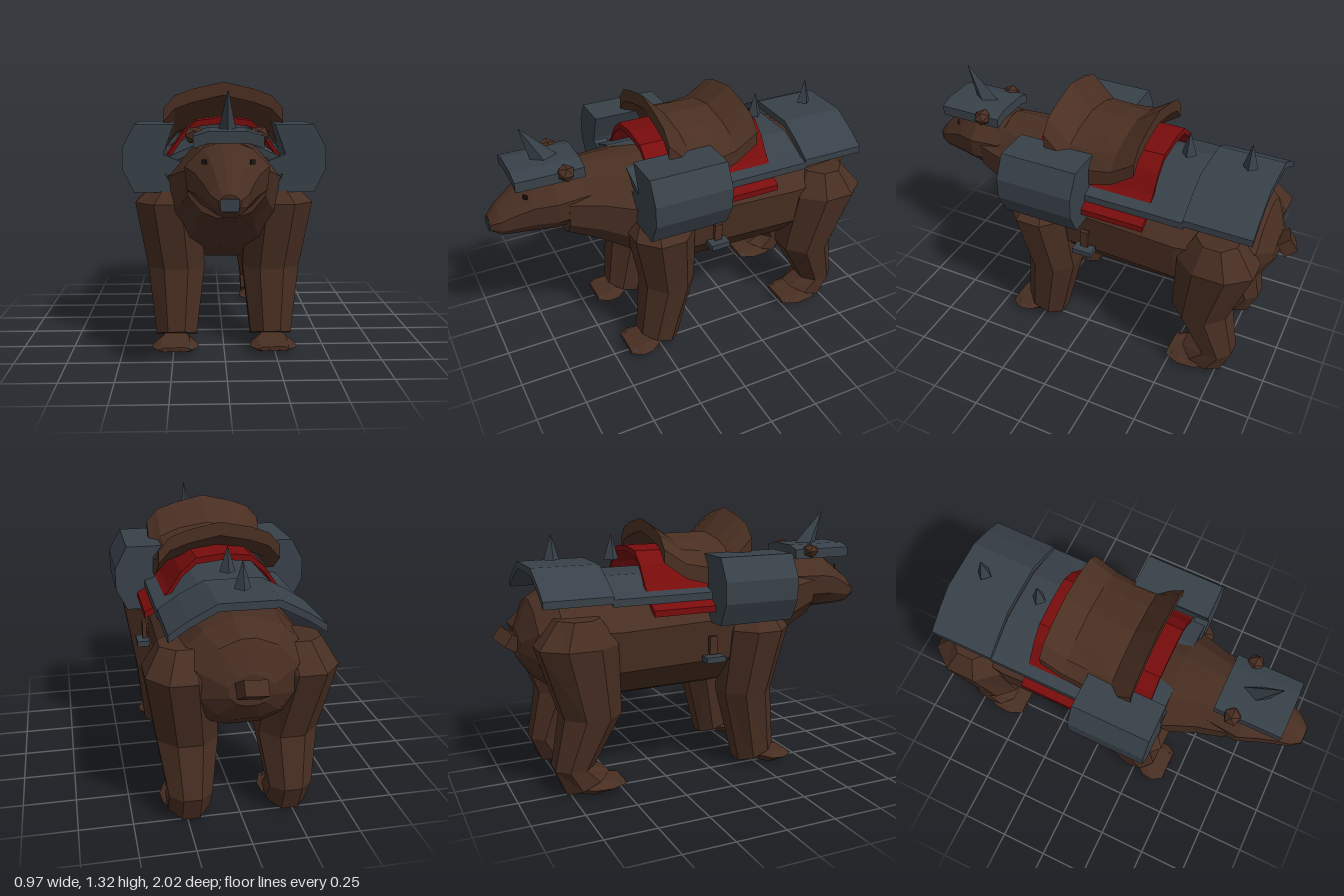
import * as THREE from 'three';

const mat = (name, color, extra = {}) => {
  const m = new THREE.MeshStandardMaterial({ color, flatShading: true, ...extra });
  m.name = name;
  return m;
};

// Skin a list of equal, even-sized rings of [x, y, z] points and cap both ends
function loft(rings) {
  const n = rings[0].length, tris = [];
  const quad = (a, b, c, d) => tris.push([a, b, c], [a, c, d]);
  for (let r = 0; r < rings.length - 1; r++)
    for (let i = 0; i < n; i++) {
      const j = (i + 1) % n;
      quad(rings[r][i], rings[r][j], rings[r + 1][j], rings[r + 1][i]);
    }
  const first = rings[0], last = rings[rings.length - 1];
  for (let i = 0; i < n / 2 - 1; i++) {
    quad(first[i], first[n - 1 - i], first[n - 2 - i], first[i + 1]);
    quad(last[i], last[i + 1], last[n - 2 - i], last[n - 1 - i]);
  }
  // Turn all faces outward
  const v = (p) => new THREE.Vector3(...p);
  const volume = tris.reduce((s, [a, b, c]) => s + v(a).dot(v(b).cross(v(c))), 0);
  if (volume < 0) tris.forEach((t) => t.reverse());
  const g = new THREE.BufferGeometry();
  g.setAttribute('position', new THREE.Float32BufferAttribute(tris.flat(2), 3));
  g.computeVertexNormals();
  return g;
}

// Ring across z: half outline from top to bottom, mirrored
const mirrorRing = (half, z) => [
  ...half.map(([x, y]) => [x, y, z]),
  ...half.slice().reverse().map(([x, y]) => [-x, y, z]),
];
const bodyRing = ([z, top, bottom, w]) => {
  const h = top - bottom;
  return mirrorRing([[w * 0.15, top], [w * 0.58, top - 0.1 * h], [w, top - 0.36 * h],
    [w * 0.95, bottom + 0.3 * h], [w * 0.62, bottom + 0.08 * h], [w * 0.25, bottom]], z);
};

// Octagonal limb ring: height, centre x and z, half sizes, tilt towards the front
const limbRing = (s) => ([y, cx, cz, rx, rz, tilt = 0]) => Array.from({ length: 8 }, (_, i) => {
  const a = (i + 0.5) * Math.PI / 4, k = 1 / Math.cos(Math.PI / 8);
  const dz = Math.sin(a) * k * rz;
  return [s * (cx + Math.cos(a) * k * rx), y + dz * tilt, cz + dz];
});

// Arched cross-section of given vertical thickness
function archRing(half, thick, z) {
  const top = [...half.slice().reverse().map(([x, y]) => [-x, y]), ...half.filter(([x]) => x > 0)];
  return [...top.map(([x, y]) => [x, y, z]), ...top.slice().reverse().map(([x, y]) => [x, y - thick, z])];
}
const arch = (half, thick, z0, z1) => loft([archRing(half, thick, z0), archRing(half, thick, z1)]);

function extrude(points, z0, z1) {
  const shape = new THREE.Shape(points.map(([x, y]) => new THREE.Vector2(x, y)));
  return new THREE.ExtrudeGeometry(shape, { depth: z1 - z0, bevelEnabled: false }).translate(0, 0, z0);
}

export function createModel() {
  const model = new THREE.Group();
  const fur = mat('brown fur', 0x482e22);
  const leather = mat('saddle leather', 0x4a2f22);
  const steel = mat('dark steel', 0x384149);
  const red = mat('red cloth', 0x780c0c);
  const dark = mat('eye black', 0x1c1410);
  const add = (name, geometry, material, x = 0, y = 0, z = 0) => {
    const m = new THREE.Mesh(geometry, material);
    m.name = name;
    m.position.set(x, y, z);
    model.add(m);
    return m;
  };

  // Torso, neck and head
  add('torso', loft([
    [0.65, 1.05, 0.72, 0.18], [0.5, 1.06, 0.64, 0.21], [0.33, 1.06, 0.53, 0.27],
    [0.07, 1.02, 0.425, 0.33], [-0.5, 0.995, 0.42, 0.34], [-0.76, 0.98, 0.48, 0.31],
    [-0.86, 0.92, 0.55, 0.22], [-0.92, 0.78, 0.64, 0.1],
  ].map(bodyRing)), fur);
  add('head', loft([
    [0.54, 1.06, 0.77, 0.17], [0.7, 1.06, 0.765, 0.185], [0.8, 1.03, 0.765, 0.14],
    [0.88, 0.975, 0.765, 0.105], [0.95, 0.92, 0.77, 0.08], [0.995, 0.87, 0.8, 0.045],
  ].map(bodyRing)), fur);
  add('nose', new THREE.BoxGeometry(0.075, 0.05, 0.03), steel, 0, 0.828, 0.985);
  const tail = add('tail', new THREE.BoxGeometry(0.12, 0.07, 0.07), fur, 0.005, 0.73, -0.955);
  tail.rotation.set(0.6, 0.35, 0);

  for (const s of [1, -1]) {
    const side = s > 0 ? 'left' : 'right';
    const limb = limbRing(s);

    // Ears and eyes
    add(side + 'Ear', new THREE.IcosahedronGeometry(0.05, 0).scale(1, 0.8, 0.9), fur, s * 0.14, 1.085, 0.64);
    const eye = add(side + 'Eye', new THREE.BoxGeometry(0.022, 0.02, 0.009), dark, s * 0.1, 0.985, 0.83);
    eye.rotation.y = s * 0.6;

    // Legs
    add(side + 'FrontLeg', loft([
      [0.8, 0.25, 0.235, 0.12, 0.12], [0.74, 0.27, 0.235, 0.16, 0.155],
      [0.41, 0.235, 0.19, 0.14, 0.13], [0.065, 0.235, 0.25, 0.1, 0.1, 0.37],
    ].map(limb)), fur);
    add(side + 'HindLeg', loft([
      [0.86, 0.25, -0.69, 0.11, 0.1], [0.74, 0.28, -0.705, 0.15, 0.185],
      [0.39, 0.235, -0.635, 0.14, 0.14], [0.14, 0.235, -0.728, 0.1, 0.095],
      [0.055, 0.235, -0.665, 0.1, 0.105, 0.42],
    ].map(limb)), fur);

    // Paws with claws
    for (const [name, z, len] of [['Front', 0.43, 0.17], ['Hind', -0.49, 0.25]]) {
      const pawRing = ([t, y0, y1, w]) => mirrorRing(
        [[w * 0.6, y1], [w, (y0 + y1) / 2], [w * 0.6, y0]], z - len * t)
        .map(([x, y, pz]) => [x + s * 0.24, y, pz]);
      add(side + name + 'Paw', loft([
        [0, 0.028, 0.05, 0.085], [0.3, 0.012, 0.06, 0.115], [0.65, 0.003, 0.072, 0.11], [1, 0.02, 0.08, 0.07],
      ].map(pawRing)), fur);
      for (let i = 0; i < 4; i++)
        add(side + name + 'Claw', new THREE.ConeGeometry(0.012, 0.045, 4).rotateX(Math.PI / 2 + 0.2),
          steel, s * 0.24 + (i - 1.5) * 0.048, 0.037, z - 0.008);
    }

    // Shoulder guard with its inner wedge
    add(side + 'ShoulderGuard', extrude([
      [0.24, 1.12], [0.425, 1.12], [0.485, 1.01], [0.485, 0.905], [0.43, 0.795], [0.235, 0.795],
      [0.285, 0.89], [0.29, 0.985],
    ].map(([x, y]) => [s * x, y]), -0.04, 0.35), steel);
    add(side + 'GuardStrap', extrude([
      [0.3, 0.98], [0.16, 0.925], [0.08, 0.97], [0.14, 0.9], [0.24, 0.87], [0.3, 0.89],
    ].map(([x, y]) => [s * x, y]), 0.28, 0.35), steel);

    // Stirrup
    add(side + 'StirrupStrap', new THREE.BoxGeometry(0.02, 0.09, 0.04), leather, s * 0.35, 0.685, -0.04);
    add(side + 'Stirrup', new THREE.BoxGeometry(0.06, 0.028, 0.1), steel, s * 0.36, 0.62, -0.04);
  }

  // Back armour
  add('backPlate', arch([[0.13, 1.025], [0.27, 0.965], [0.34, 0.945]], 0.035, -0.54, 0.34), steel);
  add('rumpPlate', arch([[0.13, 1.082], [0.25, 1.02], [0.34, 0.96]], 0.035, -0.865, -0.535), steel);
  for (const [z, y] of [[-0.43, 1.147], [-0.73, 1.16]])
    add('backSpike', new THREE.ConeGeometry(0.038, 0.125, 4), steel, 0, y, z);

  // Saddle cloth
  add('saddleCloth', arch([[0, 1.15], [0.13, 1.135], [0.2, 1.075], [0.26, 0.985], [0.34, 0.905], [0.378, 0.885]],
    0.03, -0.355, 0.27), red);

  // Saddle: high pommel and cantle with a low seat
  const saddleRing = (z, mid, shoulder, edge, thick) =>
    archRing([[0, mid], [0.15, shoulder], [0.24, (shoulder + edge) / 2 + 0.015], [0.295, edge]], thick, z);
  add('saddle', loft([
    saddleRing(0.195, 1.32, 1.285, 1.19, 0.065),
    saddleRing(0.08, 1.2, 1.175, 1.07, 0.07),
    saddleRing(-0.05, 1.2, 1.175, 1.06, 0.08),
    saddleRing(-0.155, 1.2, 1.175, 1.08, 0.07),
    saddleRing(-0.27, 1.28, 1.25, 1.155, 0.065),
  ]), leather);

  // Head plate and horn
  add('headPlate', arch([[0.08, 1.115], [0.145, 1.095]], 0.05, 0.55, 0.88), steel);
  add('horn', loft([[0.7, 1.1, 0.08], [0.8, 1.28, 0.002]].map(([z, y, d]) =>
    [[0, y, z - d], [d / 2, y, z], [0, y, z + d * 0.75], [-d / 2, y, z]])), steel);

  return model;
}
